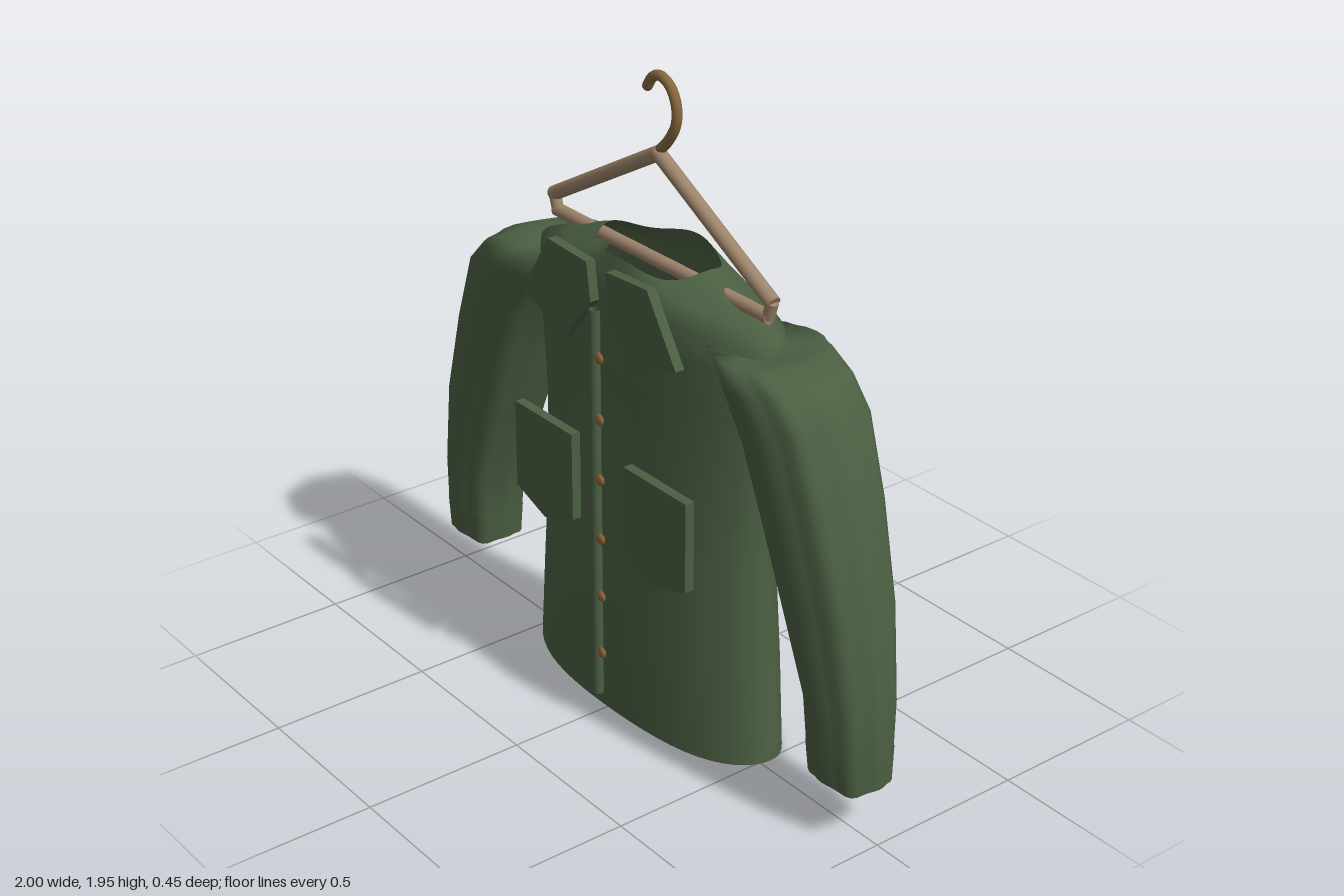
import * as THREE from 'three';

const mat = (name, color, side = THREE.FrontSide) => {
  const m = new THREE.MeshStandardMaterial({ color, side });
  m.name = name;
  return m;
};

// Skin a list of closed rings (each an array of [x, y, z]) into a smooth open tube
function loft(rings) {
  const n = rings[0].length, index = [];
  for (let r = 0; r < rings.length - 1; r++) {
    for (let i = 0; i < n; i++) {
      const a = r * n + i, b = r * n + (i + 1) % n;
      index.push(a, a + n, b, b, a + n, b + n);
    }
  }
  const g = new THREE.BufferGeometry();
  g.setAttribute('position', new THREE.Float32BufferAttribute(rings.flat(2), 3));
  g.setIndex(index);
  g.computeVertexNormals();
  return g;
}

const angles = n => Array.from({ length: n }, (_, i) => i / n * Math.PI * 2);
const soft = (v, e) => Math.sign(v) * Math.abs(v) ** e;

export function createModel() {
  const group = new THREE.Group();
  const cloth = mat('green cloth', 0x4b5f42, THREE.DoubleSide);
  const wood = mat('hanger wood', 0x9c846a);
  const brass = mat('hook brass', 0x86683f);
  const buttonMat = mat('button brown', 0x8c6239);
  const add = (name, geometry, material, x = 0, y = 0, z = 0) => {
    const m = new THREE.Mesh(geometry, material);
    m.name = name;
    m.position.set(x, y, z);
    group.add(m);
    return m;
  };

  // Body: [height, half width, front z, back z, edge ripple]
  const bodyRings = [
    [0.012, 0.525, 0.18, -0.22, 0.006],
    [0.3, 0.5, 0.182, -0.226, 0],
    [0.64, 0.472, 0.172, -0.216, 0],
    [0.9, 0.48, 0.163, -0.208, 0],
    [1.1, 0.5, 0.16, -0.203, 0],
    [1.24, 0.512, 0.158, -0.198, 0],
    [1.335, 0.505, 0.153, -0.192, 0],
    [1.385, 0.37, 0.14, -0.178, 0.004],
    [1.432, 0.22, 0.12, -0.158, 0.012],
  ].map(([y, rx, f, b, wave]) => angles(56).map(t => [
    rx * Math.cos(t),
    y + wave * Math.cos(4 * t),
    (f + b) / 2 + (f - b) / 2 * Math.sin(t),
  ]));
  add('jacketBody', loft(bodyRings), cloth);

  // Sleeves: [outer x, outer y, inner x, inner y, front z, back z, squareness]
  const sleeveRows = [
    [0.615, 1.31, 0.34, 1.31, 0.14, -0.188, 0.7],
    [0.7, 1.275, 0.41, 1.21, 0.15, -0.192, 0.75],
    [0.78, 1.205, 0.49, 1.07, 0.15, -0.188, 0.8],
    [0.866, 0.98, 0.56, 0.89, 0.145, -0.175, 0.85],
    [0.95, 0.7, 0.645, 0.66, 0.135, -0.15, 0.9],
    [0.99, 0.42, 0.738, 0.41, 0.12, -0.125, 0.95],
    [0.997, 0.28, 0.748, 0.27, 0.11, -0.112, 0.95],
    [0.997, 0.18, 0.755, 0.18, 0.1, -0.105, 0.95],
  ];
  const sleeveRing = ([ox, oy, ix, iy, f, b, e], side, grow = 1) => angles(40).map(t => {
    const fold = grow * (1 - 0.035 * (1 - Math.cos(8 * t)));
    const c = soft(Math.cos(t), e) * fold, s = soft(Math.sin(t), e) * fold;
    return [
      side * ((ox + ix) / 2 + (ox - ix) / 2 * c),
      (oy + iy) / 2 + (oy - iy) / 2 * c + (oy < 0.2 ? 0.008 * Math.cos(4 * t) : 0),
      (f + b) / 2 + (f - b) / 2 * s,
    ];
  });
  for (const side of [1, -1]) {
    const label = side > 0 ? 'left' : 'right';
    const rings = sleeveRows.map(r => sleeveRing(r, side));
    // shallow sunken cap at the shoulder
    const crown = rings[0].map(([x, , z]) => [side * 0.48 + (x - side * 0.48) * 0.5, 1.295, -0.024 + (z + 0.024) * 0.5]);
    const centre = crown.map(() => [side * 0.48, 1.285, -0.024]);
    add(label + 'Sleeve', loft([centre, crown, ...rings]), cloth);
    add(label + 'Cuff', loft(sleeveRows.slice(-2).map(r => sleeveRing(r, side, 1.015))), cloth);
  }

  // Flat collar points and pockets, mirrored
  const plate = (points, side, depth) => {
    const shape = new THREE.Shape(points.map(([x, y]) => new THREE.Vector2(side * x, y)));
    return new THREE.ExtrudeGeometry(shape, { depth, bevelEnabled: false });
  };
  const collar = [[0.225, 1.445], [0.045, 1.435], [0.028, 1.32], [0.155, 1.165], [0.35, 1.25]];
  const pocket = [[0.122, 0.872], [0.4, 0.872], [0.4, 0.595], [0.262, 0.545], [0.122, 0.595]];
  for (const side of [1, -1]) {
    const label = side > 0 ? 'left' : 'right';
    add(label + 'Collar', plate(collar, side, 0.03), cloth, 0, 0, 0.165);
    add(label + 'Pocket', plate(pocket, side, 0.03), cloth, 0, 0, 0.168);
  }

  // Front placket and buttons
  add('placket', new THREE.CylinderGeometry(0.016, 0.016, 1.24, 12, 1, true), cloth, -0.003, 0.69, 0.2);
  for (let i = 0; i < 6; i++) {
    add('button', new THREE.SphereGeometry(0.017, 16, 10), buttonMat, 0.038, 1.18 - i * 0.19, 0.216)
      .scale.z = 0.5;
  }

  // Hanger: arms, short end pieces and lower bar
  const hangerZ = -0.02;
  const rod = (name, a, b, r) => {
    const p = new THREE.Vector3(...a, hangerZ), q = new THREE.Vector3(...b, hangerZ);
    const m = add(name, new THREE.CylinderGeometry(r, r, p.distanceTo(q), 16), wood);
    m.position.copy(p).lerp(q, 0.5);
    m.quaternion.setFromUnitVectors(new THREE.Vector3(0, 1, 0), q.sub(p).normalize());
  };
  for (const side of [1, -1]) {
    rod('hangerArm', [0, 1.715], [side * 0.492, 1.442], 0.022);
    rod('hangerEnd', [side * 0.488, 1.445], [side * 0.472, 1.395], 0.018);
  }
  rod('hangerBar', [-0.478, 1.397], [0.478, 1.397], 0.02);
  add('hangerJoint', new THREE.SphereGeometry(0.022, 16, 10), wood, 0, 1.715, hangerZ);

  // Curved hook
  const hook = [[0, 1.72], [0.045, 1.765], [0.077, 1.82], [0.077, 1.875], [0.05, 1.92], [0.008, 1.938], [-0.025, 1.926], [-0.048, 1.895]];
  const path = new THREE.CatmullRomCurve3(hook.map(([x, y]) => new THREE.Vector3(x, y, hangerZ)));
  add('hangerHook', new THREE.TubeGeometry(path, 40, 0.015, 12), brass);
  add('hookTip', new THREE.SphereGeometry(0.015, 12, 8), brass, -0.048, 1.895, hangerZ);

  return group;
}
